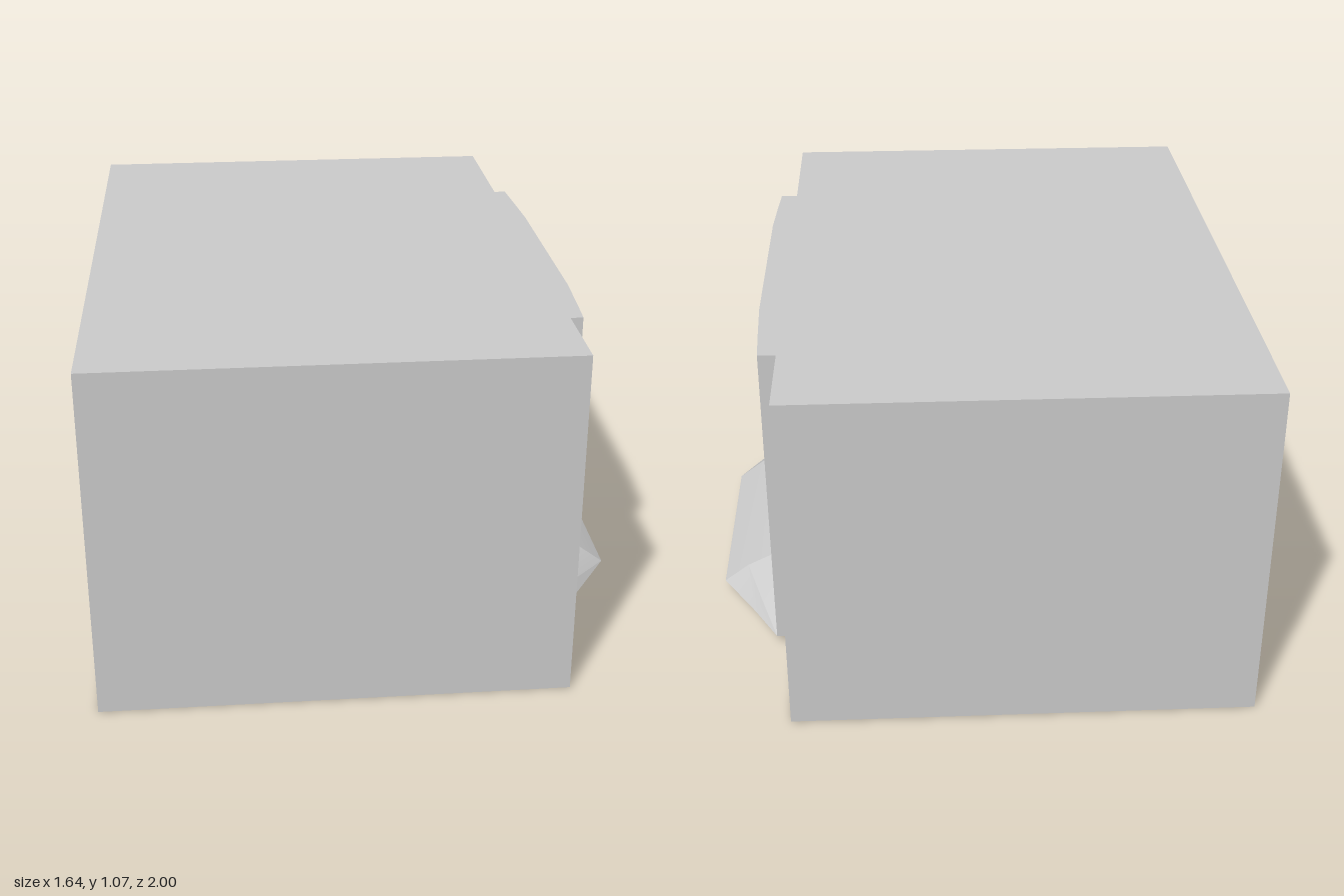
import * as THREE from 'three';
import { toCreasedNormals } from 'three/addons/utils/BufferGeometryUtils.js';

const material = new THREE.MeshStandardMaterial({ color: 0xcccccc });

// Shape drawn as (-z, y), extruded along x from x0 to x1
function slab(name, shape, x0, x1) {
  const geo = new THREE.ExtrudeGeometry(shape, { depth: x1 - x0, bevelEnabled: false });
  geo.rotateY(Math.PI / 2);
  geo.translate(x0, 0, 0);
  const mesh = new THREE.Mesh(geo, material);
  mesh.name = name;
  return mesh;
}

const toShape = (pts) => new THREE.Shape(pts.map(([u, y]) => new THREE.Vector2(u, y)));

// Skin closed cross-sections [x, y] placed along z, with capped ends
function loft(sections) {
  const n = sections[0].pts.length;
  const pos = [];
  const index = [];
  sections.forEach(({ z, pts }) => pts.forEach(([x, y]) => pos.push(x, y, z)));
  for (let i = 0; i < sections.length - 1; i++) {
    for (let j = 0; j < n; j++) {
      const k = (j + 1) % n;
      const a = i * n + j, b = i * n + k, c = b + n, d = a + n;
      index.push(a, b, c, a, c, d);
    }
  }
  const last = (sections.length - 1) * n;
  for (let j = 1; j < n - 1; j++) {
    index.push(0, j + 1, j, last, last + j, last + j + 1);
  }
  const geo = new THREE.BufferGeometry();
  geo.setAttribute('position', new THREE.Float32BufferAttribute(pos, 3));
  geo.setIndex(index);
  return toCreasedNormals(geo, 0.25);
}

export function createModel() {
  const model = new THREE.Group();
  model.name = 'passageEntrance';

  // Outer block pierced by the faceted passage
  const half = [[0.64, 0.04], [0.975, 0.34], [0.975, 0.67], [0.87, 0.845], [0.77, 0.87], [0.67, 1.0], [0.665, 1.035]];
  const passage = [...half, ...half.map(([u, y]) => [-u, y]).reverse()];
  const block = toShape([[-1, 0], [1, 0], [1, 1.07], [-1, 1.07]]);
  block.holes.push(toShape(passage));
  model.add(slab('outerBlock', block, -0.82, 0.57));

  // Recessed bulkhead closing the passage
  model.add(slab('bulkhead', toShape(passage), 0.5, 0.535));

  // Door frame with top lip, hollowed cheeks and sloping sill
  const B = 0.52, top = 1.035, low = 0.04;
  const ring = (front) => [[B, top], ...front, [B, low]];
  const edge = ring([[0.63, top], [0.63, top], [0.63, top], [0.63, low], [0.63, low], [0.63, low], [0.63, low]]);
  const cheek = ring([[0.637, top], [0.616, 1.0], [0.616, 1.0], [0.616, 0.095], [0.616, 0.095], [0.68, 0.072], [0.707, low]]);
  const jamb = ring([[0.645, top], [0.607, 0.96], [0.607, 0.96], [0.607, 0.165], [0.607, 0.165], [0.74, 0.1], [0.82, low]]);
  const inner = ring([[0.645, top], [0.607, 0.96], [0.58, 0.96], [0.58, 0.165], [0.607, 0.165], [0.74, 0.1], [0.82, low]]);
  const frame = new THREE.Mesh(loft([
    { z: 0.635, pts: edge }, { z: 0.52, pts: cheek }, { z: 0.35, pts: jamb }, { z: 0.35, pts: inner },
    { z: -0.32, pts: inner }, { z: -0.32, pts: jamb }, { z: -0.5, pts: cheek }, { z: -0.635, pts: edge },
  ]), material);
  frame.name = 'doorFrame';
  model.add(frame);

  // Two door leaves meeting along a zigzag seam
  const seam = [[-0.026, 0.165], [-0.026, 0.26], [-0.128, 0.35], [-0.128, 0.45],
    [0.085, 0.65], [0.085, 0.75], [-0.026, 0.88], [-0.026, 0.96]];
  for (const [name, side, outer] of [['leftDoorLeaf', -1, -0.35], ['rightDoorLeaf', 1, 0.32]]) {
    const line = seam.map(([u, y]) => [u + side * 0.009, y]);
    model.add(slab(name, toShape([[outer, 0.165], ...line, [outer, 0.96]]), 0.575, 0.6));
  }

  return model;
}
